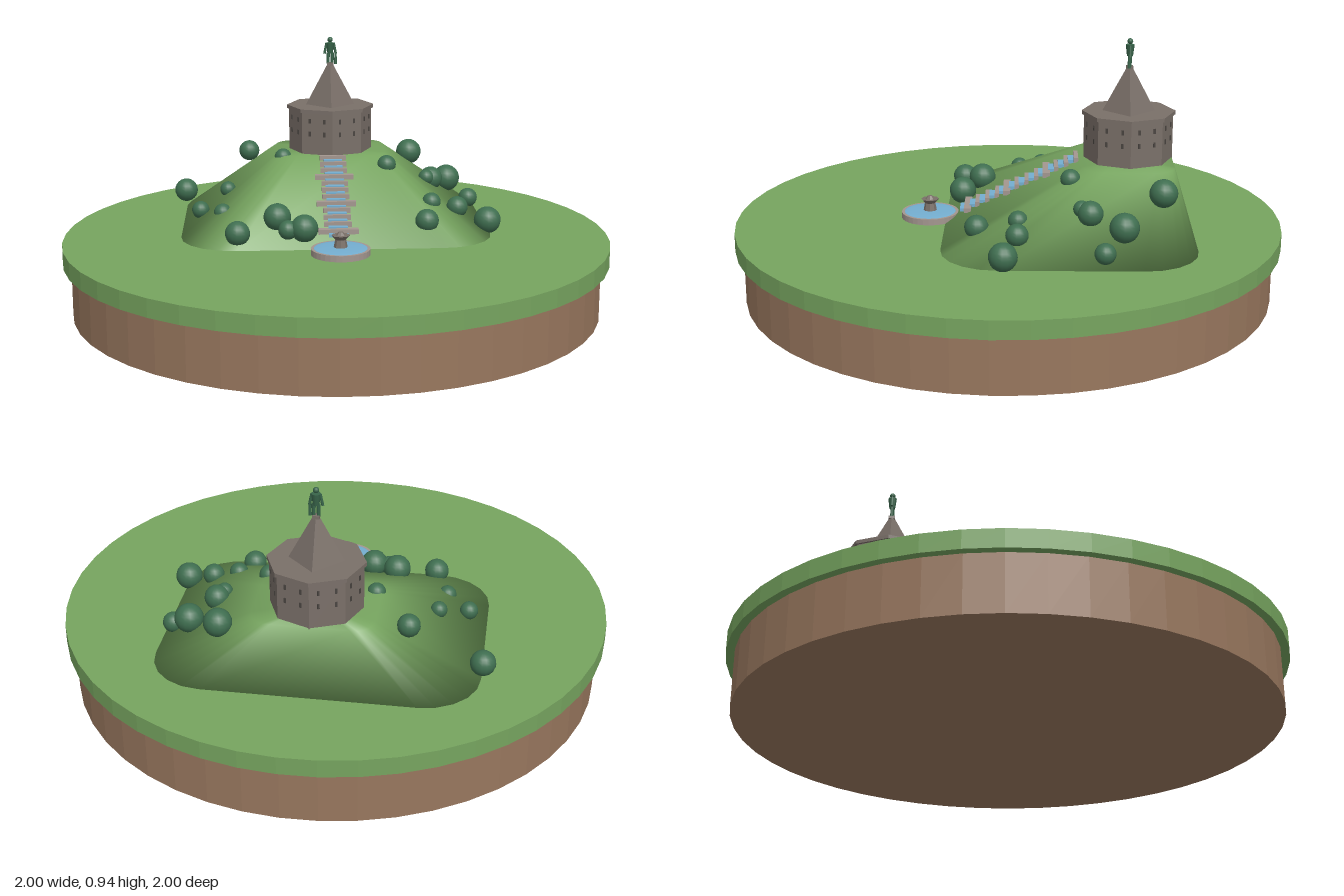
import * as THREE from 'three';

const mat = (name, color) => {
  const m = new THREE.MeshStandardMaterial({ color });
  m.name = name;
  return m;
};

// Faceted copy of a geometry
const flat = (geo) => {
  const g = geo.index ? geo.toNonIndexed() : geo;
  g.computeVertexNormals();
  return g;
};

// Rounded rectangle in the ground plane, as [x, z] points
function roundedRect(a, b, r, n = 5) {
  const pts = [];
  [[1, 1], [-1, 1], [-1, -1], [1, -1]].forEach(([sx, sz], q) => {
    for (let i = 0; i <= n; i++) {
      const t = (q + i / n) * Math.PI / 2;
      pts.push([sx * (a - r) + r * Math.cos(t), sz * (b - r) + r * Math.sin(t)]);
    }
  });
  return pts;
}

// Closed, smooth mound between a wide foot and a smaller summit set back
function moundGeometry(foot, scale, shiftZ, y0, y1) {
  const n = foot.length, pos = [], idx = [];
  foot.forEach(([x, z]) => pos.push(x, y0, z));
  foot.forEach(([x, z]) => pos.push(x * scale, y1, z * scale + shiftZ));
  pos.push(0, y0, 0, 0, y1, shiftZ);
  for (let i = 0; i < n; i++) {
    const j = (i + 1) % n;
    idx.push(i, n + i, j, j, n + i, n + j);
    idx.push(2 * n, i, j, 2 * n + 1, n + j, n + i);
  }
  const g = new THREE.BufferGeometry();
  g.setAttribute('position', new THREE.Float32BufferAttribute(pos, 3));
  g.setIndex(idx);
  g.computeVertexNormals();
  return g;
}

export function createModel() {
  const grass = mat('grass', 0x76a45f);
  const earth = mat('earth', 0x98775e);
  const stone = mat('stone', 0x7a7069);
  const darkStone = mat('dark stone', 0x4a4541);
  const paleStone = mat('pale stone', 0xa3968f);
  const water = mat('water', 0x74aed0);
  const foliage = mat('foliage', 0x3f6e50);
  const bronze = mat('green bronze', 0x38644a);

  const model = new THREE.Group();
  model.name = 'hillPark';
  const add = (parent, name, geo, material, x = 0, y = 0, z = 0) => {
    const m = new THREE.Mesh(geo, material);
    m.name = name;
    m.position.set(x, y, z);
    parent.add(m);
    return m;
  };
  const group = (parent, name, x, y, z) => {
    const g = new THREE.Group();
    g.name = name;
    g.position.set(x, y, z);
    parent.add(g);
    return g;
  };
  const cyl = (rt, rb, h, n) => new THREE.CylinderGeometry(rt, rb, h, n);
  const box = (w, h, d) => new THREE.BoxGeometry(w, h, d);

  // Round plinth
  add(model, 'earthBase', flat(cyl(0.97, 0.97, 0.2, 48)), earth, 0, 0.1, 0);
  add(model, 'grassDisc', flat(cyl(1, 1, 0.065, 48)), grass, 0, 0.2325, 0);

  // Everything on the hill shares its turned frame
  const site = group(model, 'hillSite', 0.075, 0, -0.205);
  site.rotation.y = -0.35;
  add(site, 'hill', moundGeometry(roundedRect(0.57, 0.447, 0.2), 0.37, -0.215, 0.265, 0.5), grass);

  // Cascade: treads with water between, every fourth one a wide landing
  const cascade = group(site, 'cascade', 0, 0, 0);
  const slopeY = (z) => 0.265 + 0.235 * (0.447 - z) / 0.497;
  for (let i = 0; i < 12; i++) {
    const z = -0.03 + i * 0.036;
    const landing = i % 4 === 3;
    add(cascade, landing ? 'landing' : 'step',
      box(landing ? 0.145 : 0.1, 0.018, landing ? 0.026 : 0.016), paleStone, 0, slopeY(z) + 0.008, z);
    add(cascade, 'cascadeWater', box(0.07, 0.012, 0.022), water, 0, slopeY(z + 0.018) + 0.007, z + 0.018);
  }

  // Fountain
  const fountain = group(site, 'fountain', 0, 0.265, 0.507);
  add(fountain, 'basin', flat(cyl(0.105, 0.105, 0.022, 32)), paleStone, 0, 0.011, 0);
  const pool = add(fountain, 'poolWater',
    new THREE.SphereGeometry(0.097, 32, 6, 0, Math.PI * 2, 0, Math.PI / 2), water, 0, 0.021, 0);
  pool.scale.y = 0.06;
  add(fountain, 'pedestal', flat(cyl(0.018, 0.026, 0.04, 8)), stone, 0, 0.04, 0);
  add(fountain, 'bowl', flat(cyl(0.033, 0.02, 0.015, 8)), stone, 0, 0.062, 0);
  add(fountain, 'finial', flat(cyl(0.008, 0.018, 0.012, 8)), stone, 0, 0.075, 0);

  // Octagonal tower with a four-sided spire
  const tower = group(site, 'tower', 0, 0.49, -0.22);
  add(tower, 'towerBody', flat(cyl(0.162, 0.162, 0.175, 8)), stone, 0, 0.0875, 0);
  add(tower, 'parapet', flat(cyl(0.17, 0.17, 0.014, 8)), stone, 0, 0.178, 0);
  add(tower, 'spire', flat(cyl(0.01, 0.095, 0.16, 4)), stone, 0, 0.265, 0);
  const apothem = 0.162 * Math.cos(Math.PI / 8);
  for (let i = 0; i < 8; i++) {
    const side = group(tower, 'towerSide', 0, 0, 0);
    side.rotation.y = (i + 0.5) * Math.PI / 4;
    for (const x of [-0.03, 0.03])
      for (const y of [0.09, 0.14])
        add(side, 'windowSlit', box(0.008, 0.018, 0.006), darkStone, x, y, apothem);
  }

  // Statue on the spire
  const statue = group(tower, 'statue', 0, 0.34, 0);
  add(statue, 'statuePlinth', flat(box(0.024, 0.012, 0.024)), stone, 0, 0.004, 0);
  add(statue, 'torso', cyl(0.016, 0.011, 0.042, 10), bronze, 0, 0.067, 0);
  add(statue, 'head', new THREE.SphereGeometry(0.0105, 12, 8), bronze, 0, 0.1, 0);
  for (const s of [-1, 1]) {
    add(statue, 'leg', cyl(0.007, 0.006, 0.042, 8), bronze, s * 0.008, 0.028, 0);
    const arm = add(statue, 'arm', cyl(0.005, 0.005, 0.042, 8), bronze, s * 0.018, 0.066, 0);
    arm.rotation.z = s * 0.2;
  }
  add(statue, 'club', cyl(0.004, 0.006, 0.05, 8), bronze, 0.021, 0.03, 0.004);

  // Round bushes: x, y, z, radius
  const bushes = [
    [-0.38, 0.33, -0.63, 0.045], [-0.13, 0.48, -0.58, 0.04], [-0.07, 0.49, -0.36, 0.033],
    [-0.3, 0.385, -0.35, 0.03], [-0.43, 0.33, -0.29, 0.033], [-0.38, 0.34, -0.18, 0.033],
    [-0.4, 0.315, 0.04, 0.045], [-0.24, 0.355, 0.02, 0.05], [-0.23, 0.325, 0.1, 0.035],
    [-0.175, 0.33, 0.12, 0.05], [0.27, 0.475, -0.14, 0.036], [0.43, 0.415, -0.12, 0.03],
    [0.46, 0.405, -0.14, 0.045], [0.49, 0.46, -0.4, 0.05], [0.57, 0.38, -0.22, 0.052],
    [0.62, 0.315, -0.13, 0.037], [0.35, 0.37, 0.085, 0.035], [0.44, 0.35, 0.12, 0.04],
    [0.27, 0.335, 0.21, 0.043], [0.525, 0.31, 0.2, 0.05],
  ];
  const ball = new THREE.SphereGeometry(1, 16, 12);
  const planting = group(model, 'planting', 0, 0, 0);
  for (const [x, y, z, r] of bushes) add(planting, 'bush', ball, foliage, x, y, z).scale.setScalar(r);

  return model;
}
